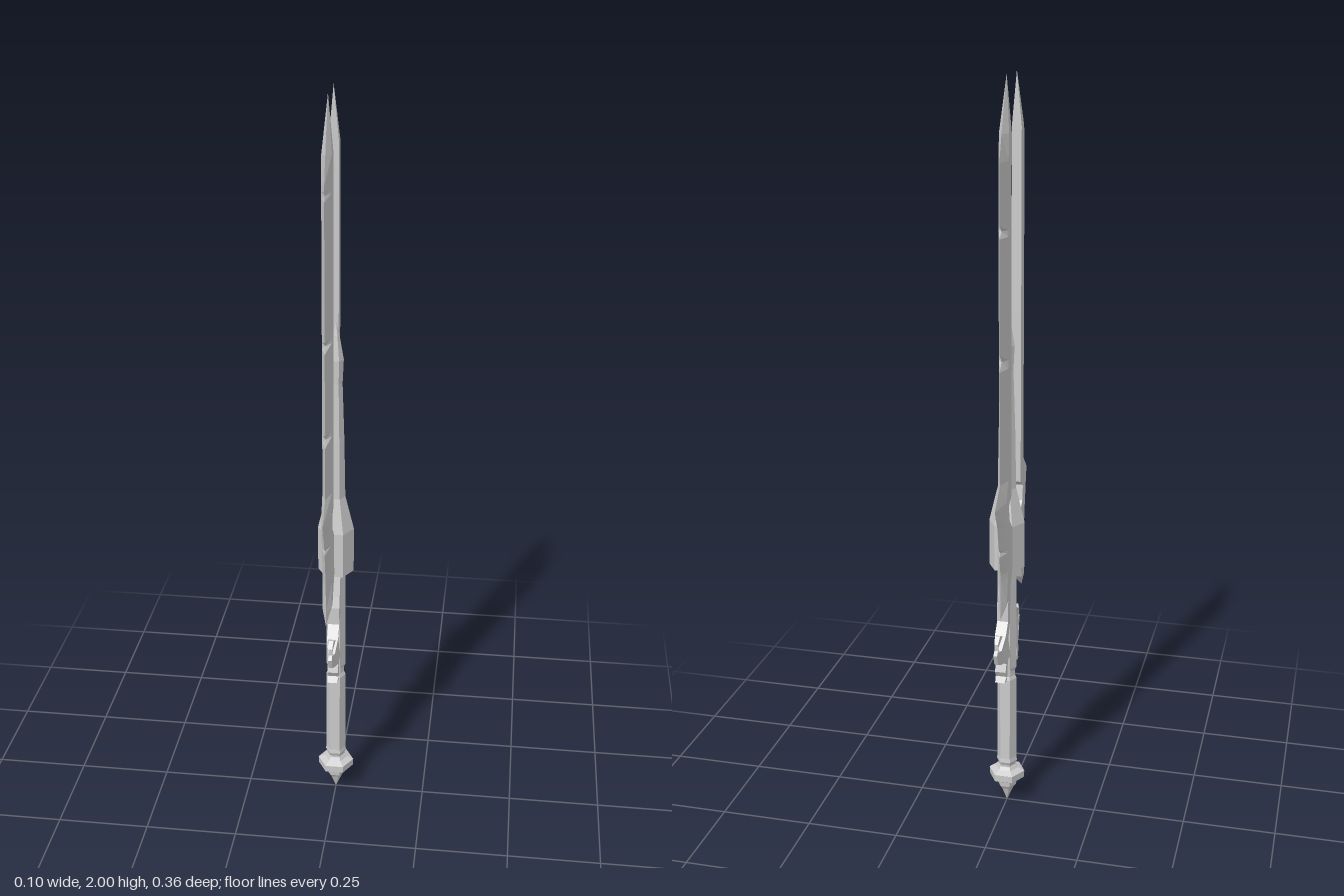
import * as THREE from 'three';

const material = new THREE.MeshStandardMaterial({ color: 0xcccccc, flatShading: true, side: THREE.DoubleSide });

function addMesh(group, name, geometry) {
  const mesh = new THREE.Mesh(geometry, material);
  mesh.name = name;
  group.add(mesh);
}

// Six-sided turned part with corners on the x axis; profile rows are [radius, y], bottom to top
function hexLathe(profile) {
  return new THREE.LatheGeometry(profile.map(([r, y]) => new THREE.Vector2(r, y)), 6, Math.PI / 2);
}

// Blade outline rows: y, inner edge, ridge, cutting edge, half thickness
const BLADE = [
  [0.613, 0.121, 0.122, 0.122, 0],
  [0.655, 0.074, 0.1, 0.122, 0.012],
  [0.725, 0.042, 0.09, 0.122, 0.0125],
  [0.74, 0.032, 0.09, 0.122, 0.0125],
  [0.835, 0.032, 0.1, 0.143, 0.0125],
  [0.878, 0.074, 0.108, 0.152, 0.0125],
  [0.92, 0.08, 0.11, 0.174, 0.0125],
  [0.938, 0.053, 0.108, 0.18, 0.0125],
  [0.99, 0.053, 0.085, 0.127, 0.0125],
  [1.8, 0.053, 0.085, 0.127, 0.0125],
  [1.865, 0.053, 0.08, 0.106, 0.0125],
  [2.0, 0.053, 0.053, 0.053, 0],
];

function bladeRow(y) {
  const i = Math.max(1, BLADE.findIndex((row) => row[0] >= y));
  const a = BLADE[i - 1], b = BLADE[i];
  const k = (y - a[0]) / (b[0] - a[0]);
  return a.map((v, j) => v + (b[j] - v) * k);
}

// Loft of five-point sections; notches are [y, half height, depth] cut into the outer edge
function bladeGeometry(side, notches) {
  const rows = BLADE.map((row) => [...row]);
  for (const [y, half, depth] of notches) {
    for (const step of [-1, 0, 1]) {
      const row = bladeRow(y + step * half);
      if (step === 0) row[3] -= depth;
      rows.push(row);
    }
  }
  rows.sort((a, b) => a[0] - b[0]);

  const positions = [];
  for (const [y, inner, ridge, edge, t] of rows) {
    for (const [x, z] of [[t, inner], [t, ridge], [0, edge], [-t, ridge], [-t, inner]]) {
      positions.push(x - 0.012, y, z * side);
    }
  }
  const index = [];
  const tri = (a, b, c) => (side > 0 ? index.push(a, b, c) : index.push(a, c, b));
  for (let i = 0; i < rows.length - 1; i++) {
    for (let j = 0; j < 5; j++) {
      const a = i * 5 + j, b = i * 5 + (j + 1) % 5;
      tri(a, a + 5, b);
      tri(b, a + 5, b + 5);
    }
  }
  const geometry = new THREE.BufferGeometry();
  geometry.setAttribute('position', new THREE.Float32BufferAttribute(positions, 3));
  geometry.setIndex(index);
  geometry.computeVertexNormals();
  return geometry;
}

// Hooked crossguard: half outline in (z, y), mirrored, thinning towards the hooks
function guardGeometry() {
  const half = [
    [0.024, 0.72], [0.04, 0.655], [0.05, 0.625], [0.05, 0.575], [0.075, 0.545], [0.098, 0.512],
    [0.115, 0.515], [0.117, 0.53], [0.093, 0.553], [0.107, 0.558], [0.122, 0.54], [0.122, 0.522],
    [0.134, 0.512], [0.122, 0.482], [0.1, 0.472], [0.082, 0.468], [0.069, 0.46], [0.077, 0.437],
    [0.067, 0.42], [0.083, 0.408], [0.064, 0.408], [0.055, 0.425], [0.056, 0.445], [0.045, 0.468],
    [0.03, 0.46], [0.022, 0.4],
  ];
  const mirrored = half.map(([z, y]) => [-z, y]).reverse();
  const shape = new THREE.Shape([...half, ...mirrored].map(([z, y]) => new THREE.Vector2(z, y)));
  const geometry = new THREE.ExtrudeGeometry(shape, { depth: 2, bevelEnabled: false });
  geometry.rotateY(-Math.PI / 2).translate(1, 0, 0);
  const p = geometry.attributes.position;
  for (let i = 0; i < p.count; i++) {
    const t = THREE.MathUtils.mapLinear(Math.abs(p.getZ(i)), 0.075, 0.115, 0.015, 0.005);
    p.setX(i, p.getX(i) * THREE.MathUtils.clamp(t, 0.005, 0.015));
  }
  geometry.computeVertexNormals();
  return geometry;
}

export function createModel() {
  const group = new THREE.Group();
  group.name = 'sword';

  // Pommel with spike and wide ring
  addMesh(group, 'pommel', hexLathe([
    [0, 0], [0.018, 0.042], [0.026, 0.052], [0.028, 0.066], [0.049, 0.078],
    [0.05, 0.098], [0.032, 0.106], [0.026, 0.115], [0, 0.115],
  ]));

  // Grip, with a collar at each end
  addMesh(group, 'grip', hexLathe([
    [0, 0.105], [0.024, 0.105], [0.024, 0.12], [0.029, 0.13], [0.027, 0.142],
    [0.027, 0.385], [0.023, 0.395], [0.023, 0.41], [0.027, 0.42], [0.026, 0.73], [0, 0.73],
  ]));

  addMesh(group, 'crossguard', guardGeometry());

  // Hub that holds the blades, rising into the central spike
  addMesh(group, 'hub', hexLathe([
    [0, 0.718], [0.048, 0.718], [0.048, 0.845], [0.025, 0.94], [0, 0.94],
  ]));
  addMesh(group, 'centralSpike', hexLathe([
    [0.025, 0.93], [0.022, 1.1], [0.017, 1.26], [0.02, 1.325], [0.009, 1.39], [0, 1.425],
  ]));

  // Twin blades, nicked at different heights
  addMesh(group, 'frontBlade', bladeGeometry(1, [
    [0.846, 0.01, 0.012], [1.15, 0.018, 0.02], [1.4, 0.016, 0.02], [1.775, 0.014, 0.01],
  ]));
  addMesh(group, 'backBlade', bladeGeometry(-1, [
    [0.805, 0.01, 0.012], [1.31, 0.022, 0.02], [1.635, 0.016, 0.02],
  ]));

  return group;
}
